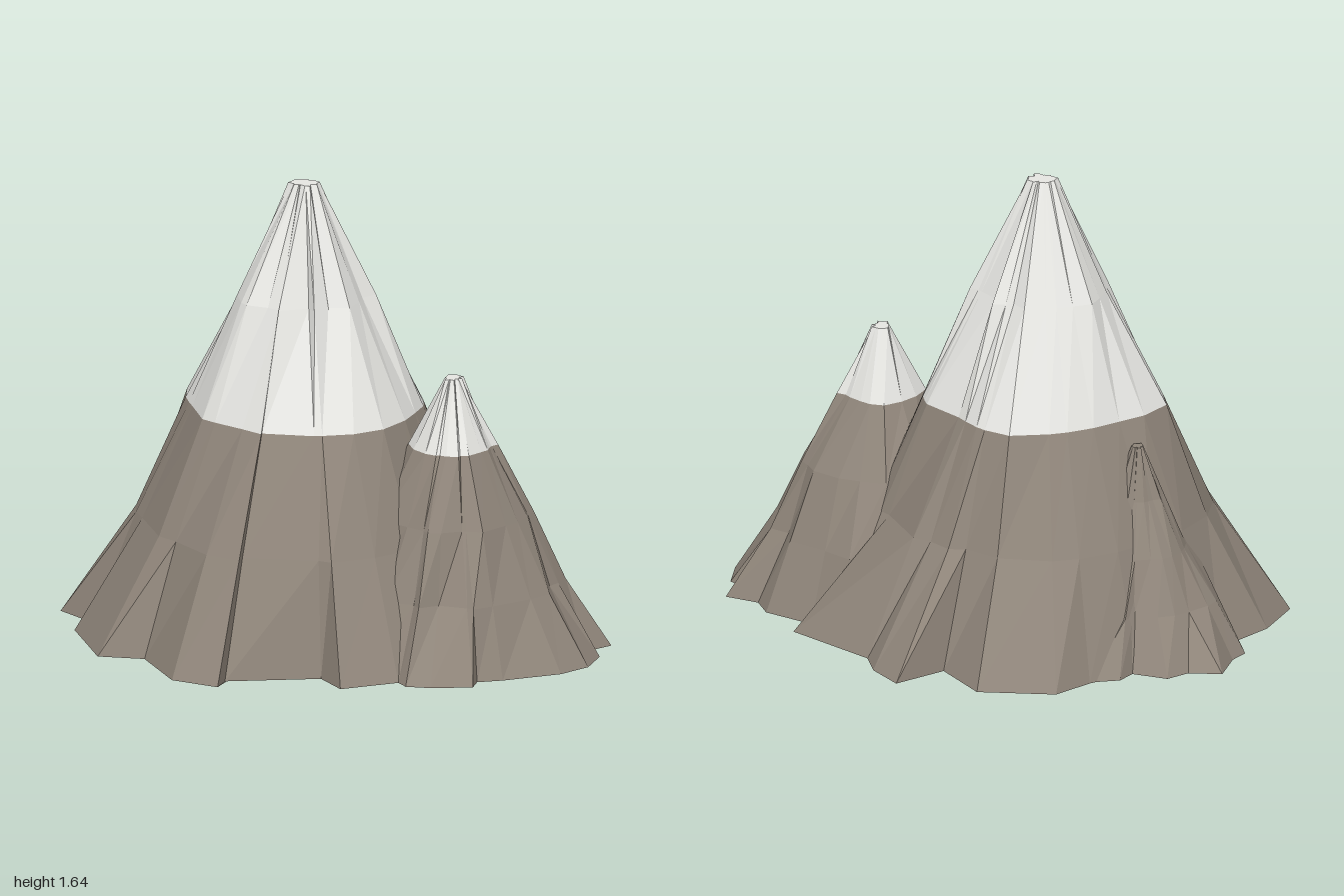
import * as THREE from 'three';

const rock = new THREE.MeshStandardMaterial({ color: 0x8f857a, flatShading: true });
rock.name = 'rock';
const snow = new THREE.MeshStandardMaterial({ color: 0xf0f0ec, flatShading: true });
snow.name = 'snow';

// Small repeatable random source for the craggy ridges
function seeded(seed) {
  let s = seed;
  return () => {
    s = (s * 16807) % 2147483647;
    return s / 2147483647;
  };
}

// Faces joining a stack of rings, optionally closed at either end
function ringGeometry(rings, closeBottom, closeTop) {
  const pos = [];
  const tri = (...pts) => pts.forEach((p) => pos.push(p.x, p.y, p.z));
  const n = rings[0].length;
  for (let i = 0; i < n; i++) {
    const j = (i + 1) % n;
    for (let k = 0; k < rings.length - 1; k++) {
      const lo = rings[k], hi = rings[k + 1];
      tri(hi[i], lo[i], hi[j]);
      tri(lo[i], lo[j], hi[j]);
    }
  }
  const fan = (ring, up) => {
    const c = ring.reduce((a, p) => a.add(p), new THREE.Vector3()).divideScalar(n);
    ring.forEach((p, i) => {
      const q = ring[(i + 1) % n];
      if (up) tri(c, p, q);
      else tri(c, q, p);
    });
  };
  if (closeBottom) fan(rings[0], false);
  if (closeTop) fan(rings[rings.length - 1], true);
  const g = new THREE.BufferGeometry();
  g.setAttribute('position', new THREE.Float32BufferAttribute(pos, 3));
  g.computeVertexNormals();
  return g;
}

// A mountain: jagged foot outline, four tapering bands, snow from ring snowRing up.
// Each ring is one mean radius, roughened, or a list with a radius per foot point.
function mountain(name, { cx, cz, height, foot, radii, snowRing, seed }) {
  const rand = seeded(seed);
  const rings = [foot.map(([x, z]) => new THREE.Vector3(x, 0, z))];
  radii.forEach((r, k) => {
    const rough = [0.08, 0.07, 0.11, 0.35][k];
    rings.push(foot.map(([x, z], i) => {
      const a = Math.atan2(x - cx, z - cz);
      const rr = Array.isArray(r) ? r[i] : r * (1 + (rand() * 2 - 1) * rough);
      return new THREE.Vector3(cx + rr * Math.sin(a), height * (k + 1) / 4, cz + rr * Math.cos(a));
    }));
  });
  const group = new THREE.Group();
  group.name = name;
  const add = (part, geometry, material) => {
    const m = new THREE.Mesh(geometry, material);
    m.name = name + part;
    group.add(m);
  };
  add('Rock', ringGeometry(rings.slice(0, snowRing + 1), true, snowRing === 4), rock);
  if (snowRing < 4) add('Snow', ringGeometry(rings.slice(snowRing), false, true), snow);
  return group;
}

export function createModel() {
  const model = new THREE.Group();
  model.name = 'mountains';

  // Tall central peak, upper half snowy
  model.add(mountain('mainPeak', {
    cx: -0.12, cz: 0.01, height: 1.64, snowRing: 2, seed: 4271,
    radii: [
      [0.63, 0.66, 0.64, 0.62, 0.59, 0.59, 0.6, 0.59, 0.57, 0.6, 0.58, 0.6, 0.57, 0.61,
        0.62, 0.61, 0.59, 0.58, 0.59, 0.61, 0.61, 0.6, 0.58, 0.6, 0.59, 0.65, 0.67, 0.63],
      [0.44, 0.44, 0.45, 0.45, 0.43, 0.42, 0.43, 0.43, 0.43, 0.39, 0.4, 0.42, 0.43, 0.45,
        0.42, 0.41, 0.4, 0.4, 0.43, 0.46, 0.43, 0.41, 0.4, 0.42, 0.41, 0.41, 0.44, 0.43],
      0.238, 0.043,
    ],
    foot: [
      [0, 0.73], [0.08, 0.86], [0.28, 0.76], [0.45, 0.6], [0.62, 0.4], [0.68, 0.2],
      [0.7, 0.02], [0.72, -0.08], [0.79, -0.16], [0.55, -0.45], [0.54, -0.57],
      [0.47, -0.71], [0.29, -0.6], [0.19, -0.82], [-0.09, -0.87], [-0.22, -0.77],
      [-0.4, -0.68], [-0.6, -0.6], [-0.72, -0.45], [-0.9, -0.28], [-1, -0.09],
      [-0.88, 0.05], [-0.93, 0.16], [-0.82, 0.5], [-0.65, 0.52], [-0.53, 0.79],
      [-0.36, 0.87], [-0.34, 0.79],
    ],
  }));

  // Lower front peak, top quarter snowy
  model.add(mountain('frontPeak', {
    cx: 0.435, cz: 0.27, height: 1, snowRing: 3, seed: 917,
    radii: [0.38, 0.273, 0.151, 0.032],
    foot: [
      [0.4, 0.82], [0.55, 0.8], [0.56, 0.73], [0.65, 0.7], [0.85, 0.6], [0.94, 0.5],
      [0.97, 0.36], [0.92, 0.29], [1, 0.21], [0.89, 0.14], [0.87, 0.04], [0.72, -0.09],
      [0.6, -0.15], [0.45, -0.2], [0.2, -0.2], [0, 0], [-0.08, 0.25], [0, 0.5],
      [0.15, 0.68], [0.28, 0.76], [0.31, 0.81],
    ],
  }));

  // Bare rear shoulder, mostly buried in the main peak
  model.add(mountain('rearPeak', {
    cx: -0.43, cz: -0.34, height: 0.74, snowRing: 4, seed: 3313,
    radii: [0.28, 0.185, 0.09, 0.02],
    foot: [
      [-0.42, 0], [-0.2, 0.02], [-0.02, -0.2], [0, -0.4], [-0.08, -0.6], [-0.22, -0.76],
      [-0.33, -0.75], [-0.38, -0.69], [-0.5, -0.75], [-0.58, -0.7], [-0.7, -0.72],
      [-0.75, -0.58], [-0.8, -0.52], [-0.79, -0.4], [-0.71, -0.27], [-0.6, -0.08],
    ],
  }));

  return model;
}
